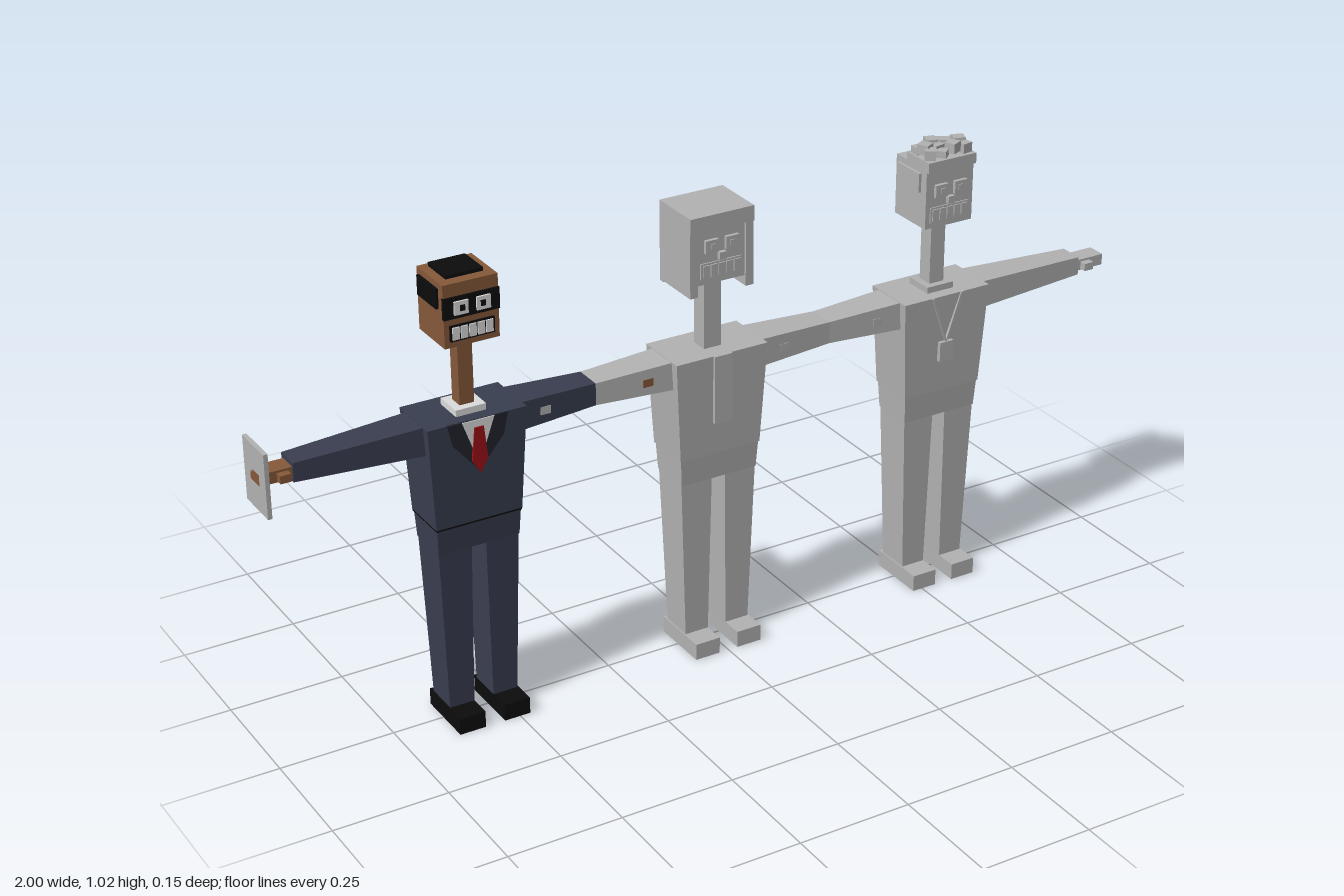
import * as THREE from 'three';

const mat = (name, color) => {
  const m = new THREE.MeshStandardMaterial({ color });
  m.name = name;
  return m;
};

export function createModel() {
  const grey = mat('plain grey', 0xb2b2b2);
  const navy = mat('navy suit', 0x393e50);
  const lapelDark = mat('dark lapel', 0x20232d);
  const brown = mat('brown skin', 0x86593a);
  const black = mat('black', 0x0c0c0c);
  const white = mat('white', 0xdcdcdc);
  const red = mat('red tie', 0x9c1118);

  const add = (parent, name, geo, material) => {
    const m = new THREE.Mesh(geo, material);
    m.name = name;
    parent.add(m);
    return m;
  };
  // Axis-aligned block from its limits
  const block = (parent, name, material, x0, x1, y0, y1, z0, z1) => {
    const m = add(parent, name, new THREE.BoxGeometry(x1 - x0, y1 - y0, z1 - z0), material);
    m.position.set((x0 + x1) / 2, (y0 + y1) / 2, (z0 + z1) / 2);
    return m;
  };
  // Block with a different cross-section at each end: end = [x0, x1, y0, y1, z0, z1]
  const taper = (parent, name, material, axis, lowEnd, highEnd) => {
    const geo = new THREE.BoxGeometry(2, 2, 2);
    const p = geo.attributes.position;
    for (let i = 0; i < p.count; i++) {
      const v = [p.getX(i), p.getY(i), p.getZ(i)];
      const e = v[axis] < 0 ? lowEnd : highEnd;
      p.setXYZ(i, ...v.map((c, k) => e[2 * k + (c < 0 ? 0 : 1)]));
    }
    geo.computeVertexNormals();
    return add(parent, name, geo, material);
  };
  // Thin flat plate on the chest
  const plate = (parent, name, material, points, z, depth = 0.006) => {
    const shape = new THREE.Shape(points.map(([x, y]) => new THREE.Vector2(x, y)));
    const m = add(parent, name, new THREE.ExtrudeGeometry(shape, { depth, bevelEnabled: false }), material);
    m.position.z = z;
    return m;
  };

  // Shared body: torso, hips, legs, shoes, arms, hands, neck and head
  const figure = (name, x, c, neck) => {
    const g = new THREE.Group();
    g.name = name;
    g.position.x = x;
    taper(g, 'torso', c.suit, 1, [-0.095, 0.095, 0.46, 0.46, -0.067, 0.042],
      [-0.108, 0.108, 0.687, 0.687, -0.073, 0.05]);
    taper(g, 'hips', c.suit, 1, [-0.09, 0.09, 0.4, 0.4, -0.06, 0.036],
      [-0.093, 0.093, 0.46, 0.46, -0.064, 0.04]);
    for (const s of [-1, 1]) {
      const mx = (a, b) => (s > 0 ? [a, b] : [-b, -a]);
      taper(g, 'leg', c.suit, 1, [...mx(0.022, 0.077), 0.036, 0.036, -0.048, 0.028],
        [...mx(0.016, 0.089), 0.4, 0.4, -0.058, 0.034]);
      block(g, 'shoe', c.shoe, ...mx(0.022, 0.08), 0, 0.037, -0.06, 0.077);
      const inner = [s * 0.1, s * 0.1, 0.624, 0.686, -0.05, 0.03];
      const outer = [s * 0.375, s * 0.375, 0.635, 0.676, -0.038, 0.016];
      taper(g, 'arm', c.suit, 0, s > 0 ? inner : outer, s > 0 ? outer : inner);
      block(g, 'hand', c.skin, ...mx(0.37, 0.443), 0.642, 0.667, -0.03, 0.012);
      block(g, 'thumb', c.skin, ...mx(0.384, 0.407), 0.645, 0.662, 0.01, 0.028);
    }
    block(g, 'neck', c.skin, -neck, neck, 0.68, 0.86, -0.01 - neck, -0.01 + neck);
    block(g, 'head', c.skin, -0.059, 0.059, 0.847, 0.98, -0.068, 0.042);
    return g;
  };

  // Raised face pieces
  const face = (g, eye, pupil, mouth, tooth) => {
    for (const s of [-1, 1]) {
      block(g, 'eye', eye, s * 0.024 - 0.015, s * 0.024 + 0.015, 0.916, 0.944, 0.04, 0.05);
      block(g, 'pupil', pupil, s * 0.022 - 0.005, s * 0.022 + 0.005, 0.924, 0.936, 0.048, 0.052);
    }
    block(g, 'mouth', mouth, -0.048, 0.048, 0.86, 0.894, 0.04, 0.045);
    for (let i = 0; i < 5; i++) {
      const x = -0.036 + i * 0.018;
      block(g, 'tooth', tooth, x - 0.0075, x + 0.0075, 0.864, 0.89, 0.043, 0.048);
    }
  };
  // Hair patches on both sides of the head
  const sideHair = (g, m) => {
    for (const s of [-1, 1])
      block(g, 'sideHair', m, s * 0.061 - 0.004, s * 0.061 + 0.004, 0.925, 0.967, -0.058, 0.023);
  };
  const collar = (g, m) => block(g, 'collar', m, -0.033, 0.033, 0.68, 0.701, -0.043, 0.023);

  const root = new THREE.Group();
  root.name = 'threeFigures';

  // Suited figure
  const a = figure('suitedFigure', -0.557, { suit: navy, shoe: black, skin: brown }, 0.016);
  collar(a, white);
  block(a, 'hemLine', black, -0.0945, 0.0945, 0.456, 0.461, -0.0665, 0.0415);
  block(a, 'flatTopHair', black, -0.04, 0.04, 0.975, 0.988, -0.057, 0.018);
  sideHair(a, black);
  block(a, 'glasses', black, -0.06, 0.06, 0.908, 0.953, 0.038, 0.046);
  face(a, white, black, black, white);
  plate(a, 'lapels', lapelDark, [[-0.066, 0.687], [-0.055, 0.64], [0, 0.575], [0.055, 0.64], [0.066, 0.687]], 0.046);
  plate(a, 'shirt', white, [[-0.035, 0.687], [0, 0.59], [0.035, 0.687]], 0.048);
  plate(a, 'tie', red, [[-0.01, 0.672], [-0.017, 0.6], [0, 0.572], [0.017, 0.6], [0.01, 0.672]], 0.051);
  block(a, 'handPanel', grey, -0.443, -0.434, 0.585, 0.723, -0.058, 0.042);
  root.add(a);

  // Long-haired figure
  const plain = { suit: grey, shoe: grey, skin: grey };
  const b = figure('longHairedFigure', 0, plain, 0.02);
  face(b, grey, grey, grey, grey);
  block(b, 'nose', grey, -0.008, 0.008, 0.898, 0.914, 0.04, 0.052);
  block(b, 'hairTop', grey, -0.074, 0.074, 0.965, 0.998, -0.073, 0.049);
  block(b, 'hairBack', grey, -0.074, 0.074, 0.822, 0.98, -0.073, -0.06);
  for (const s of [-1, 1])
    block(b, 'hairSide', grey, s * 0.065 - 0.009, s * 0.065 + 0.009, 0.825, 0.98, -0.068, 0.047);
  plate(b, 'longTie', grey, [[-0.021, 0.687], [-0.021, 0.535], [0.021, 0.535], [0.021, 0.687]], 0.047, 0.008);
  root.add(b);

  // Curly-haired figure
  const c = figure('curlyHairedFigure', 0.557, plain, 0.018);
  collar(c, grey);
  sideHair(c, grey);
  face(c, grey, grey, grey, grey);
  block(c, 'nose', grey, -0.008, 0.008, 0.898, 0.914, 0.04, 0.052);
  block(c, 'hairCap', grey, -0.06, 0.06, 0.975, 0.998, -0.03, 0.05);
  for (let i = 0; i < 12; i++) {
    const curl = block(c, 'curl', grey, -0.013, 0.013, 0, 0.022, -0.012, 0.012);
    curl.position.set(-0.042 + (i % 4) * 0.028, 1.002 + ((i * 5) % 3) * 0.006, -0.012 + Math.floor(i / 4) * 0.02);
    curl.rotation.y = i * 1.3;
  }
  for (const s of [-1, 1])
    plate(c, 'chain', grey, [[s * 0.04, 0.687], [s * 0.034, 0.687], [0, 0.585], [0, 0.575]], 0.047);
  block(c, 'pendant', grey, -0.017, 0.017, 0.535, 0.58, 0.044, 0.055);
  root.add(c);

  return root;
}
